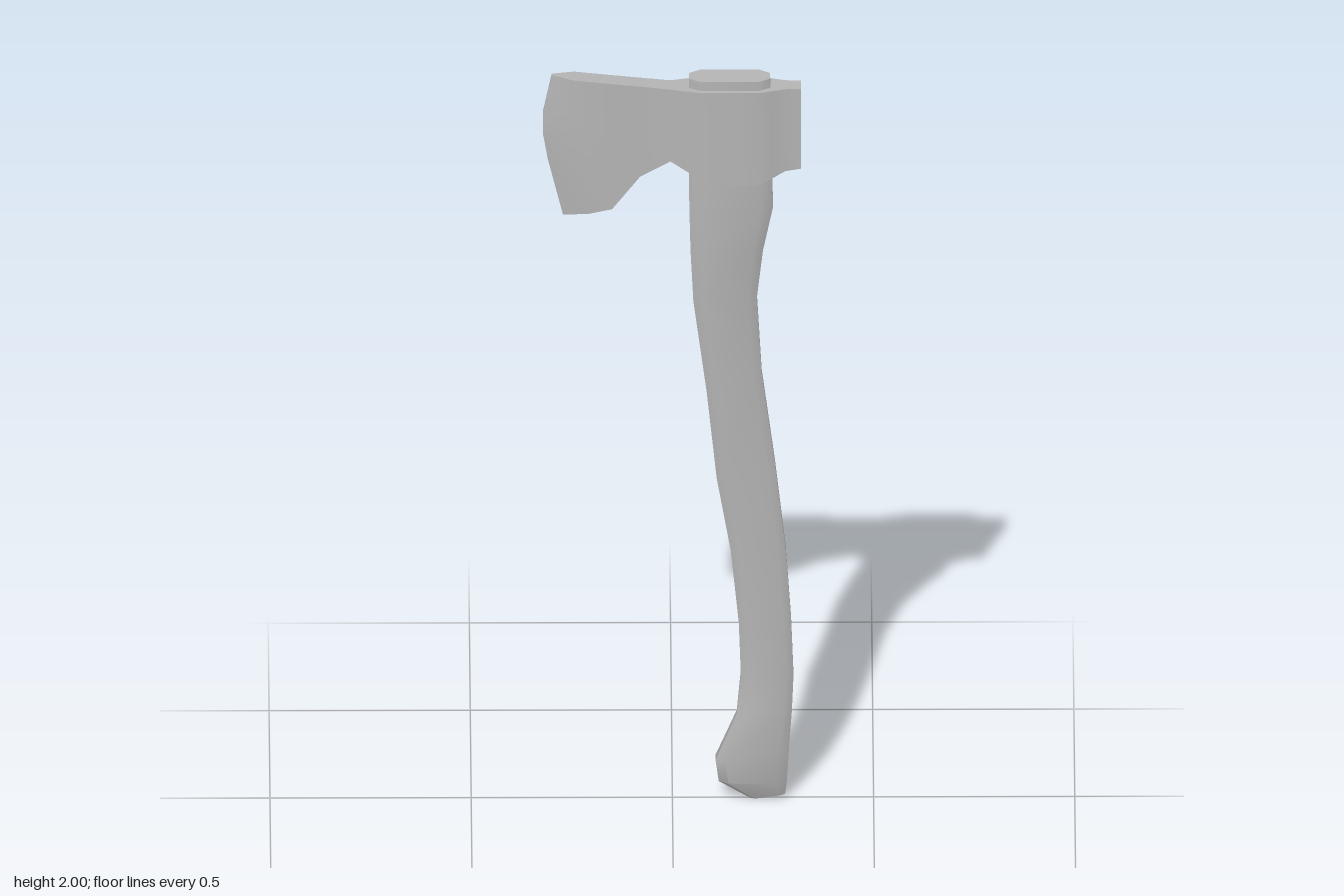
import * as THREE from 'three';
import { toCreasedNormals } from 'three/addons/utils/BufferGeometryUtils.js';

// Skins a row of closed rings (each counterclockwise about the direction of travel) and caps both ends
function loft(rings, crease) {
  const n = rings[0].length, last = (rings.length - 1) * n, index = [];
  const quad = (a, b, c, d) => index.push(a, b, c, a, c, d);
  for (let i = 0; i < rings.length - 1; i++) {
    for (let j = 0; j < n; j++) {
      const k = (j + 1) % n, p = i * n, q = p + n;
      quad(p + j, p + k, q + k, q + j);
    }
  }
  for (let j = 0; j < n / 2 - 1; j++) {
    quad(n - 1 - j, n - 2 - j, j + 1, j);
    quad(last + j, last + j + 1, last + n - 2 - j, last + n - 1 - j);
  }
  const geometry = new THREE.BufferGeometry();
  geometry.setAttribute('position', new THREE.Float32BufferAttribute(rings.flat(2), 3));
  geometry.setIndex(index);
  return toCreasedNormals(geometry, crease);
}

// Octagonal handle section from its left point to its right point
function handleRing([xl, yl, xr, yr, h]) {
  const c = (xr - xl) * 0.14, e = h * 0.45;
  const at = (x, z) => [x, yl + (yr - yl) * (x - xl) / (xr - xl), z];
  return [at(xl + c, h), at(xr - c, h), at(xr, e), at(xr, -e),
    at(xr - c, -h), at(xl + c, -h), at(xl, -e), at(xl, e)];
}

// Head section: a column of [x, y] points, mirrored to both cheeks
function headRing(column, h) {
  const side = z => column.map(([x, y]) => [x, y, z]);
  return [...side(h), ...side(-h).reverse()];
}

// Straight upright column of five points
const upright = (x, top, bottom) =>
  [0, 0.25, 0.5, 0.75, 1].map(t => [x, top + (bottom - top) * t]);

export function createModel() {
  const group = new THREE.Group();
  group.name = 'axe';
  const grey = new THREE.MeshStandardMaterial({ color: 0xb4b4b4 });
  grey.name = 'grey';

  // Curved handle, knob to top: left x, left y, right x, right y, half thickness
  const handle = new THREE.Mesh(loft([
    [0.195, 0.005, 0.28, 0.017, 0.012],
    [0.115, 0.055, 0.284, 0.05, 0.025],
    [0.107, 0.115, 0.29, 0.15, 0.03],
    [0.16, 0.24, 0.297, 0.25, 0.026],
    [0.17, 0.35, 0.301, 0.345, 0.024],
    [0.165, 0.49, 0.295, 0.5, 0.023],
    [0.145, 0.69, 0.282, 0.69, 0.023],
    [0.11, 0.89, 0.255, 0.93, 0.024],
    [0.085, 1.13, 0.222, 1.18, 0.026],
    [0.052, 1.38, 0.21, 1.39, 0.03],
    [0.045, 1.52, 0.225, 1.52, 0.033],
    [0.042, 1.64, 0.25, 1.64, 0.036],
    [0.041, 1.75, 0.248, 1.75, 0.036],
    [0.041, 1.995, 0.243, 1.995, 0.036],
  ].map(handleRing), 0.7), grey);
  handle.name = 'handle';

  // Head from the cutting edge through the beard and eye to the poll
  const edge = [[-0.3, 2], [-0.321, 1.9], [-0.322, 1.84], [-0.31, 1.77], [-0.272, 1.615]];
  const bevel = [[-0.245, 1.995], [-0.255, 1.9], [-0.255, 1.84], [-0.245, 1.77], [-0.21, 1.627]];
  const body = [
    [-0.15, 1.985, 1.64, 0.026],
    [-0.08, 1.978, 1.73, 0.026],
    [-0.005, 1.97, 1.772, 0.027],
    [0.07, 1.97, 1.73, 0.047],
    [0.1, 1.97, 1.718, 0.047],
    [0.165, 1.97, 1.712, 0.047],
    [0.22, 1.97, 1.718, 0.047],
    [0.25, 1.97, 1.73, 0.036],
    [0.28, 1.97, 1.744, 0.026],
    [0.32, 1.97, 1.75, 0.024],
  ];
  const head = new THREE.Mesh(loft([
    headRing(edge, 0.004),
    headRing(bevel, 0.026),
    ...body.map(([x, top, bottom, h]) => headRing(upright(x, top, bottom), h)),
  ], 0.7), grey);
  head.name = 'axeHead';

  group.add(handle, head);
  return group;
}
